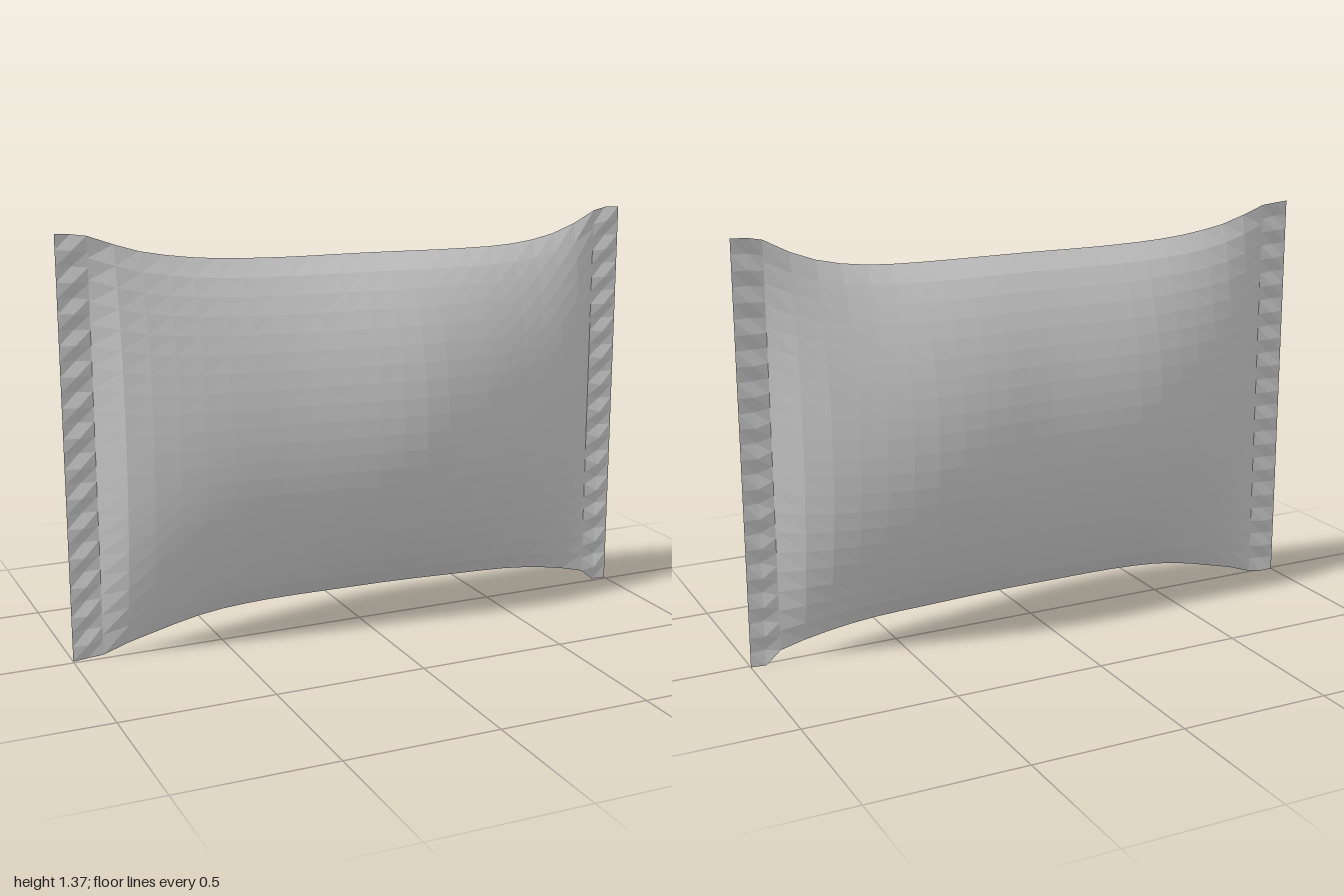
import * as THREE from 'three';

// Outline and bulge profiles: [x, value]
const TOP = [[-1, 1.37], [-0.9, 1.36], [-0.76, 1.31], [-0.55, 1.275], [-0.3, 1.262], [0, 1.26], [0.5, 1.257], [0.68, 1.275], [0.8, 1.31], [0.9, 1.36], [0.95, 1.37], [1, 1.37]];
const BOTTOM = [[-1, 0], [-0.95, 0.002], [-0.89, 0.01], [-0.82, 0.035], [-0.5, 0.103], [0, 0.112], [0.4, 0.102], [0.65, 0.088], [0.9, 0.04], [0.95, 0], [1, 0]];
const FRONT = [[-0.9, 0], [-0.82, 0.065], [-0.6, 0.12], [-0.3, 0.155], [0.13, 0.2], [0.35, 0.18], [0.6, 0.13], [0.82, 0.07], [0.9, 0]];
const BACK = [[-0.9, 0], [-0.82, 0.055], [-0.7, 0.105], [-0.5, 0.15], [-0.35, 0.168], [0, 0.168], [0.25, 0.18], [0.45, 0.17], [0.7, 0.112], [0.82, 0.06], [0.9, 0]];
const SEAM_Z = -0.01;

// Smooth interpolation through a profile
function sample(points, x) {
  const last = points.length - 1;
  if (x <= points[0][0]) return points[0][1];
  if (x >= points[last][0]) return points[last][1];
  let i = 0;
  while (x > points[i + 1][0]) i++;
  const slope = (k) => {
    const a = points[Math.max(k - 1, 0)], b = points[Math.min(k + 1, last)];
    return (b[1] - a[1]) / (b[0] - a[0]);
  };
  const [x0, y0] = points[i], [x1, y1] = points[i + 1];
  const h = x1 - x0, t = (x - x0) / h, t2 = t * t, t3 = t2 * t;
  return y0 * (2 * t3 - 3 * t2 + 1) + slope(i) * h * (t3 - 2 * t2 + t)
    + y1 * (3 * t2 - 2 * t3) + slope(i + 1) * h * (t3 - t2);
}

// Grid between the bottom and top outlines; depth(x, v, column, row) gives z
function sheet(name, x0, x1, columns, rows, depth, material) {
  const geometry = new THREE.PlaneGeometry(1, 1, columns, rows);
  const p = geometry.attributes.position;
  for (let i = 0; i < p.count; i++) {
    const column = i % (columns + 1), row = Math.floor(i / (columns + 1));
    const x = x0 + (x1 - x0) * column / columns;
    const v = 1 - row / rows;
    const low = sample(BOTTOM, x), high = sample(TOP, x);
    p.setXYZ(i, x, low + (high - low) * v, SEAM_Z + depth(x, v, column, row));
  }
  geometry.computeVertexNormals();
  const mesh = new THREE.Mesh(geometry, material);
  mesh.name = name;
  return mesh;
}

export function createModel() {
  const group = new THREE.Group();
  group.name = 'pillowPacket';
  const foil = new THREE.MeshStandardMaterial({ color: 0xcccccc, flatShading: true, side: THREE.DoubleSide });
  foil.name = 'grey foil';

  // Puffed front and back panels, pinched together along the outline
  const section = (v) => Math.pow(Math.max(0, 4 * v * (1 - v)), 0.85);
  group.add(sheet('frontPanel', -0.9, 0.9, 22, 20, (x, v) => sample(FRONT, x) * section(v), foil));
  group.add(sheet('backPanel', -0.9, 0.9, 22, 20, (x, v) => -sample(BACK, x) * section(v), foil));

  // Crimped seals at both ends: zigzag ridges along the middle of each strip
  for (const [name, x0, x1] of [['rightSeal', -1, -0.9], ['leftSeal', 0.9, 1]]) {
    const ridge = (x, v, column, row) => (column === 1 ? (row % 2 ? 0.006 : -0.006) : 0);
    group.add(sheet(name, x0, x1, 2, 28, ridge, foil));
  }
  return group;
}
